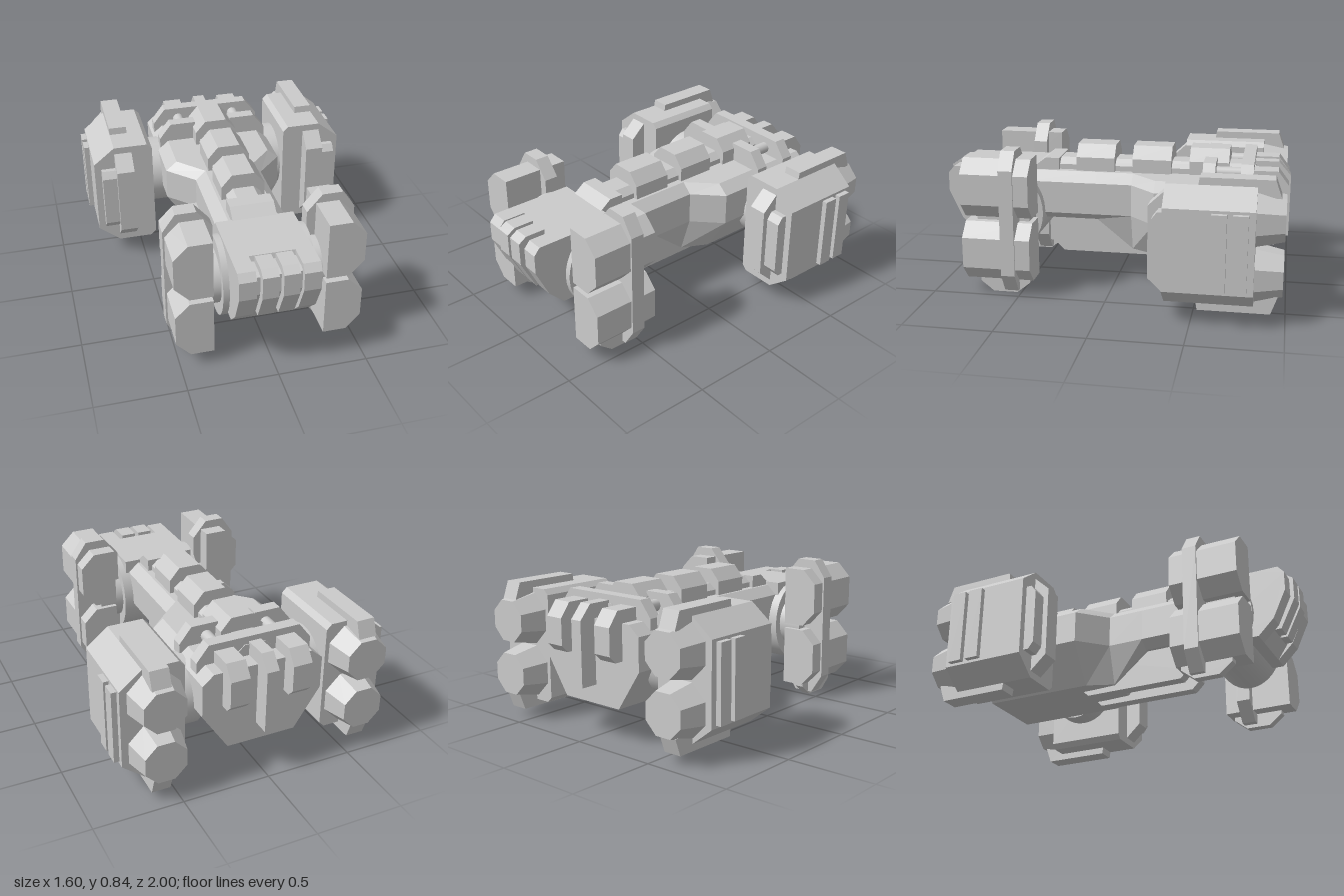
import * as THREE from 'three';

export function createModel() {
  const root = new THREE.Group();
  const flat = new THREE.MeshStandardMaterial({ color: 0xcccccc, flatShading: true });
  const smooth = new THREE.MeshStandardMaterial({ color: 0xcccccc });

  const add = (name, geometry, material = flat) => {
    const mesh = new THREE.Mesh(geometry, material);
    mesh.name = name;
    root.add(mesh);
    return mesh;
  };
  const extrude = (points, depth) => new THREE.ExtrudeGeometry(
    new THREE.Shape(points.map(([a, b]) => new THREE.Vector2(a, b))),
    { depth, bevelEnabled: false });
  // profile in (z, y), swept between two x positions
  const alongX = (name, profile, xa, xb) => add(name,
    extrude(profile, Math.abs(xb - xa)).rotateY(-Math.PI / 2).translate(Math.max(xa, xb), 0, 0));
  // profile in (x, y), swept between two z positions
  const alongZ = (name, profile, z0, z1) => add(name, extrude(profile, z1 - z0).translate(0, 0, z0));
  const box = (name, x0, x1, y0, y1, z0, z1) => add(name,
    new THREE.BoxGeometry(Math.abs(x1 - x0), y1 - y0, z1 - z0)
      .translate((x0 + x1) / 2, (y0 + y1) / 2, (z0 + z1) / 2));
  const axle = (name, x0, x1, y, z, ry, rz) => add(name,
    new THREE.CylinderGeometry(1, 1, Math.abs(x1 - x0), 32).rotateZ(Math.PI / 2)
      .scale(1, ry, rz).translate((x0 + x1) / 2, y, z), smooth);
  const mirrored = half => [...half, ...half.slice().reverse().map(([x, y]) => [-x, y])];

  // Hull: cross-sections from neck to tail, each a right half from bottom to top
  const neck = [[0.14, 0.375], [0.2, 0.42], [0.2, 0.605], [0.14, 0.66]];
  const rear = [[0.2, 0.195], [0.35, 0.42], [0.35, 0.605], [0.285, 0.66]];
  const sections = [
    [0.5, neck], [0.11, neck],
    [-0.1, [[0.13, 0.2], [0.2, 0.42], [0.2, 0.605], [0.14, 0.66]]],
    [-0.25, rear], [-0.9, rear],
  ].map(([z, half]) => mirrored(half).map(([x, y]) => [x, y, z]));
  const pos = [];
  const tri = (...corners) => corners.forEach(c => pos.push(...c));
  for (let i = 0; i < sections.length - 1; i++) {
    for (let j = 0; j < 8; j++) {
      const k = (j + 1) % 8, p = sections[i], q = sections[i + 1];
      tri(p[j], q[j], q[k]);
      tri(p[j], q[k], p[k]);
    }
  }
  const last = sections[sections.length - 1];
  for (let j = 1; j < 7; j++) {
    tri(sections[0][0], sections[0][j], sections[0][j + 1]);
    tri(last[0], last[j + 1], last[j]);
  }
  const hull = new THREE.BufferGeometry();
  hull.setAttribute('position', new THREE.Float32BufferAttribute(pos, 3));
  hull.computeVertexNormals();
  add('hull', hull);

  // Spine with raised segments
  alongZ('spineCore', mirrored([[0.1, 0.64], [0.1, 0.69], [0.06, 0.725]]), -0.8, 0.4);
  for (const z of [0.01, -0.32, -0.65]) {
    alongZ('spineSegment', mirrored([[0.125, 0.64], [0.125, 0.74], [0.065, 0.81]]), z, z + 0.225);
  }
  alongX('neckWedge', [[0.34, 0.64], [0.34, 0.73], [0.42, 0.73], [0.485, 0.68], [0.485, 0.64]], -0.125, 0.125);

  // Head: two cheeks, a recessed centre and two raised grille pads
  const headProfile = front => [[0.475, 0.28], [0.82, 0.28], [0.91 - front, 0.37],
    [0.985 - front, 0.53], [0.985 - front, 0.64], [0.95 - front, 0.68 - front], [0.83, 0.68 - front], [0.82, 0.68], [0.475, 0.68]];
  alongX('headCentre', headProfile(0.03), -0.125, 0.125);
  for (const s of [1, -1]) {
    alongX('headCheek', headProfile(0), s * 0.125, s * 0.22);
    alongX('grillePad', [[0.84, 0.6], [0.84, 0.69], [0.955, 0.69], [1, 0.66], [1, 0.53], [0.915, 0.36], [0.86, 0.36]],
      s * 0.012, s * 0.1);
  }
  axle('headDrum', -0.255, 0.255, 0.43, 0.605, 0.235, 0.195);

  // Rear collars, rods and tail fins
  const collar = [[0.335, 0.45], [0.335, 0.68], [0.265, 0.77]];
  alongZ('rearCollar', mirrored(collar), -0.795, -0.725);
  alongX('tailFin', [[-0.79, 0.3], [-0.79, 0.74], [-0.93, 0.74], [-1, 0.66], [-1, 0.3]], -0.035, 0.035);
  for (const s of [1, -1]) {
    alongZ('frontCollar', [[0.11, 0.6], ...collar, [0.11, 0.77]].map(([x, y]) => [s * x, y]), -0.585, -0.515);
    add('collarRod', new THREE.CylinderGeometry(0.033, 0.033, 0.16, 16)
      .rotateX(Math.PI / 2).translate(s * 0.178, 0.7, -0.655), smooth);
    alongX('tailFin', [[-0.79, 0.46], [-0.79, 0.73], [-0.93, 0.73], [-0.99, 0.65], [-0.99, 0.5], [-0.95, 0.46]],
      s * 0.125, s * 0.235);
    // Belly keels
    alongX('bellyKeel', [[0.365, 0.4], [0.365, 0.215], [0.315, 0.165], [-0.28, 0.165], [-0.33, 0.215], [-0.33, 0.4]],
      s * 0.055, s * 0.12);
  }

  for (const s of [1, -1]) {
    const flip = profile => profile.map(([x, y]) => [s * x, y]);

    // Front wheel pod: upper and lower blocks, band, foot
    axle('frontAxle', s * 0.2, s * 0.4, 0.435, 0.605, 0.155, 0.155);
    for (const y of [0.08, 0.45]) {
      alongZ('frontPodBlock', flip([[0.31, y], [0.44, y], [0.52, y + 0.085], [0.52, y + 0.26],
        [0.44, y + 0.34], [0.31, y + 0.34]]), 0.425, 0.815);
    }
    alongZ('frontPodBand', flip([[0.345, 0.02], [0.46, 0.02], [0.53, 0.13], [0.53, 0.74],
      [0.46, 0.84], [0.345, 0.84], [0.26, 0.74], [0.26, 0.13]]), 0.51, 0.59);
    alongX('frontPodFoot', [[0.74, 0.1], [0.74, 0.06], [0.665, 0], [0.525, 0], [0.45, 0.06], [0.45, 0.1]],
      s * 0.385, s * 0.435);

    // Rear engine pod
    axle('rearAxle', s * 0.3, s * 0.45, 0.43, -0.6, 0.2, 0.2);
    alongZ('enginePod', flip([[0.415, 0.12], [0.445, 0.09], [0.645, 0.09], [0.77, 0.19], [0.77, 0.645],
      [0.645, 0.745], [0.445, 0.745], [0.415, 0.715]]), -0.83, -0.35);
    for (const y of [0.265, 0.57]) {
      add('engineNozzle', new THREE.CylinderGeometry(0.16, 0.125, 0.16, 8)
        .rotateX(Math.PI / 2).rotateZ(Math.PI / 8).translate(s * 0.585, y, -0.9));
    }
    // Rails above and below the engine pod
    for (const m of [1, -1]) {
      alongX('enginePodRail', [[-0.52, 0.3], [-0.53, 0.367], [-0.92, 0.367], [-0.955, 0.27], [-0.83, 0.27]]
        .map(([z, y]) => [z, 0.418 + m * y]), s * 0.54, s * 0.645);
    }
    alongX('frontBracket', [[-0.36, 0.13], [-0.35, 0.13], [-0.26, 0.215], [-0.26, 0.62], [-0.35, 0.705], [-0.36, 0.705]],
      s * 0.54, s * 0.645);
    alongX('sideBracket', [[-0.36, 0.22], [-0.32, 0.22], [-0.29, 0.26], [-0.29, 0.57], [-0.32, 0.61], [-0.36, 0.61]],
      s * 0.645, s * 0.73);
    for (const z of [-0.685, -0.795]) {
      box('sidePlate', s * 0.76, s * 0.8, 0.205, 0.63, z, z + 0.08);
    }
  }
  return root;
}
